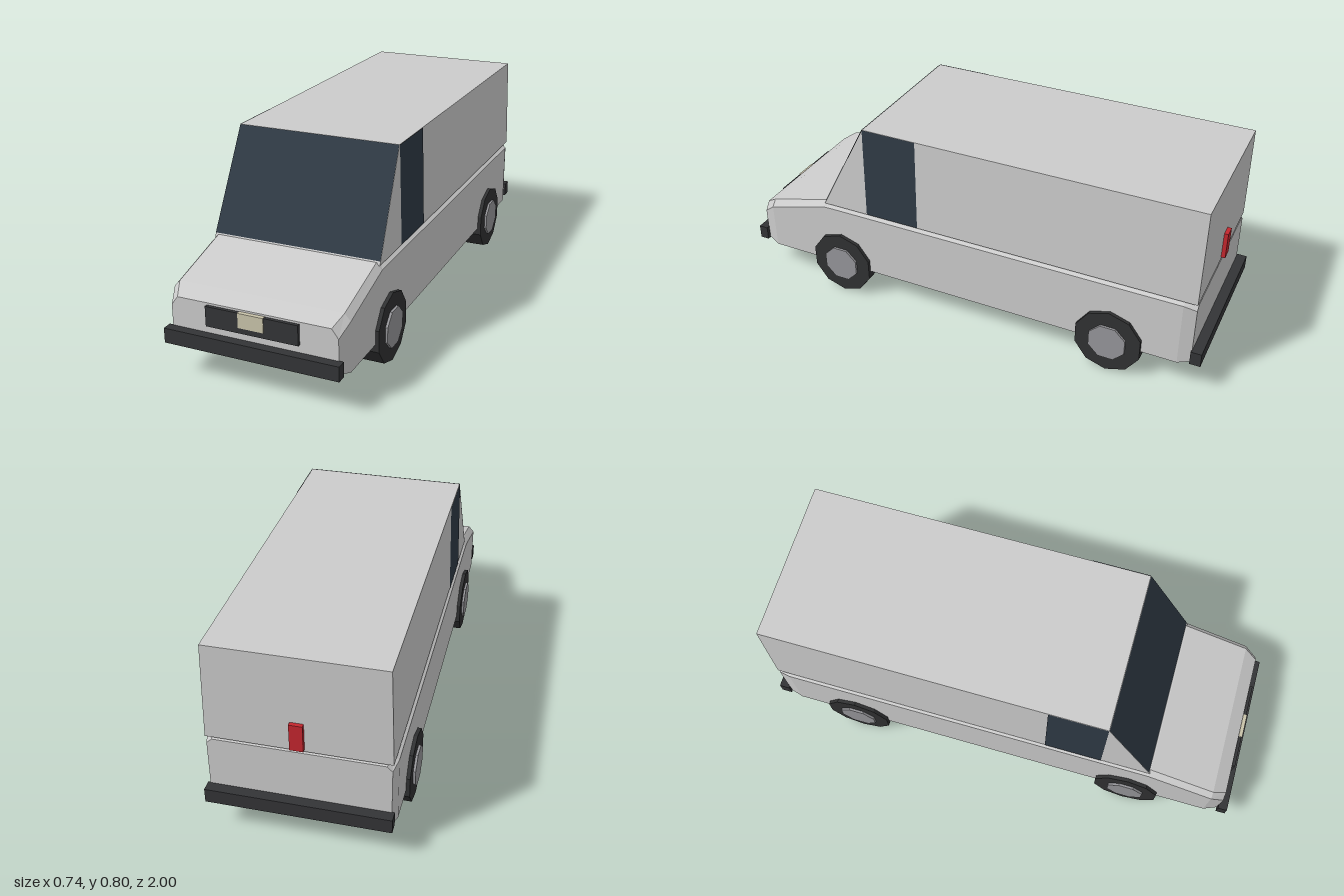
import * as THREE from 'three';

const mat = (color, side = THREE.FrontSide) =>
  new THREE.MeshStandardMaterial({ color, flatShading: true, side });
const paint = mat(0xcccccc);
const glass = mat(0x2f3a45, THREE.DoubleSide);
const trim = mat(0x333436);
const rubber = mat(0x303132);
const hubGrey = mat(0x96969a);
const plateCream = mat(0xc9c3aa);
const lampRed = mat(0xc4262e);

function named(name, geometry, material) {
  const mesh = new THREE.Mesh(geometry, material);
  mesh.name = name;
  return mesh;
}

// Skin over matching convex rings, capped at both ends; each ring runs
// counter-clockwise as seen from the first ring's end
function loft(rings) {
  const pos = [];
  const tri = (a, b, c) => pos.push(...a, ...b, ...c);
  const n = rings[0].length;
  for (let r = 0; r < rings.length - 1; r++) {
    for (let i = 0; i < n; i++) {
      const j = (i + 1) % n;
      const [a, b, c, d] = [rings[r][i], rings[r][j], rings[r + 1][j], rings[r + 1][i]];
      tri(a, d, c);
      tri(a, c, b);
    }
  }
  const first = rings[0], last = rings[rings.length - 1];
  for (let i = 1; i < n - 1; i++) {
    tri(first[0], first[i], first[i + 1]);
    tri(last[0], last[i + 1], last[i]);
  }
  const geometry = new THREE.BufferGeometry();
  geometry.setAttribute('position', new THREE.Float32BufferAttribute(pos, 3));
  geometry.computeVertexNormals();
  return geometry;
}

// Flat four-cornered pane
function pane(a, b, c, d) {
  const geometry = new THREE.BufferGeometry();
  geometry.setAttribute('position',
    new THREE.Float32BufferAttribute([...a, ...b, ...c, ...a, ...c, ...d], 3));
  geometry.computeVertexNormals();
  return geometry;
}

function box(name, material, w, y0, y1, z0, z1) {
  const mesh = named(name, new THREE.BoxGeometry(w, y1 - y0, z1 - z0), material);
  mesh.position.set(0, (y0 + y1) / 2, (z0 + z1) / 2);
  return mesh;
}

function wheel(name, side, z) {
  const group = new THREE.Group();
  group.name = name;
  const tyre = new THREE.CylinderGeometry(0.139, 0.139, 0.085, 10, 1, false, Math.PI / 2);
  const hub = new THREE.CylinderGeometry(0.08, 0.08, 0.05, 8, 1, false, Math.PI / 8);
  tyre.rotateZ(Math.PI / 2);
  hub.rotateZ(Math.PI / 2);
  const hubMesh = named('hub', hub, hubGrey);
  hubMesh.position.x = side * 0.027;
  group.add(named('tyre', tyre, rubber), hubMesh);
  group.position.set(side * 0.32, 0.139, z);
  return group;
}

export function createModel() {
  const model = new THREE.Group();
  model.name = 'van';

  // Lower body: z, bottom, half width, shoulder height, top half width, top height
  const stations = [
    [0.965, 0.14, 0.328, 0.275, 0.302, 0.31],
    [0.91, 0.126, 0.348, 0.32, 0.325, 0.346],
    [0.64, 0.126, 0.348, 0.395, 0.325, 0.42],
    [0.6, 0.126, 0.348, 0.396, 0.325, 0.413],
    [-0.91, 0.126, 0.348, 0.396, 0.325, 0.412],
    [-0.96, 0.14, 0.335, 0.38, 0.315, 0.4],
  ];
  model.add(named('lowerBody', loft(stations.map(([z, b, w, s, t, h]) => [
    [w, b, z], [w, s, z], [t, h, z], [-t, h, z], [-w, s, z], [-w, b, z],
  ])), paint));

  // Cabin with sloping front and slightly leaning sides
  const sideX = (y) => 0.339 - (y - 0.41) * 0.03;
  const frontZ = (y) => 0.64 - (y - 0.41) * 0.525;
  const cabinRing = (y) => {
    const x = sideX(y), z = frontZ(y);
    return [[x, y, z], [x, y, -0.96], [-x, y, -0.96], [-x, y, z]];
  };
  model.add(named('cabin', loft([cabinRing(0.8), cabinRing(0.41)]), paint));

  // Windscreen
  const lo = 0.425, hi = 0.8, gap = 0.002;
  model.add(named('windscreen', pane(
    [-sideX(lo), lo, frontZ(lo) + gap], [sideX(lo), lo, frontZ(lo) + gap],
    [sideX(hi), hi, frontZ(hi) + gap], [-sideX(hi), hi, frontZ(hi) + gap]), glass));

  // Side windows and wheels
  for (const [label, s] of [['left', 1], ['right', -1]]) {
    const corner = (y, z) => [s * (sideX(y) + gap), y, z];
    const corners = [corner(0.412, 0.435), corner(0.412, 0.2), corner(hi, 0.2), corner(hi, 0.435)];
    if (s < 0) corners.reverse();
    model.add(named(label + 'Window', pane(...corners), glass));
    model.add(wheel(label + 'FrontWheel', s, 0.567));
    model.add(wheel(label + 'RearWheel', s, -0.635));
  }

  // Bumpers, grille, number plate and rear lamp
  model.add(
    box('frontBumper', trim, 0.69, 0.135, 0.193, 0.962, 1),
    box('rearBumper', trim, 0.69, 0.135, 0.193, -1, -0.957),
    box('grille', trim, 0.364, 0.224, 0.302, 0.955, 0.978),
    box('numberPlate', plateCream, 0.1, 0.246, 0.303, 0.96, 0.981),
    box('rearLamp', lampRed, 0.05, 0.42, 0.53, -0.976, -0.95),
  );
  return model;
}
